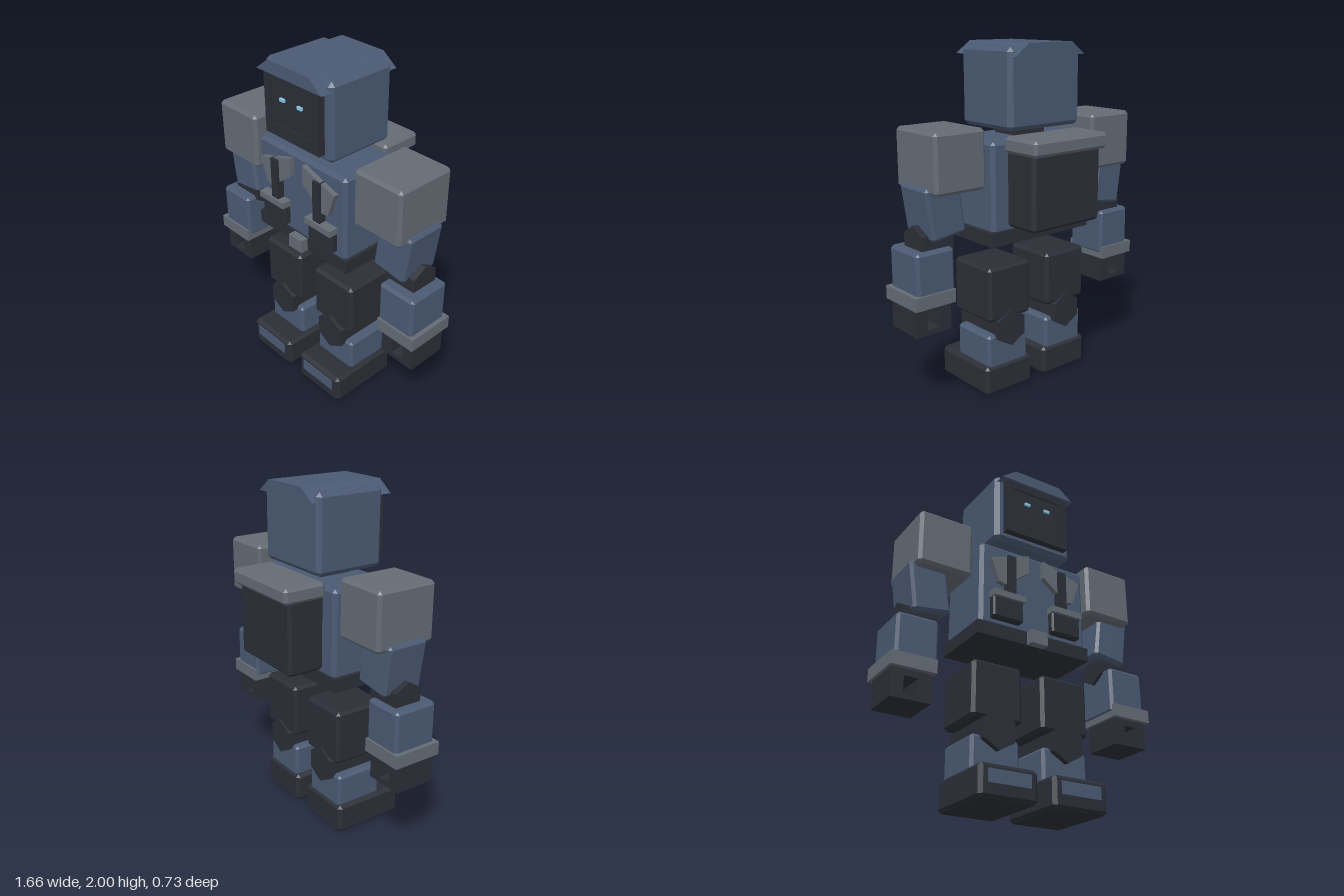
import * as THREE from 'three';
import { ConvexGeometry } from 'three/addons/geometries/ConvexGeometry.js';

const material = (color) => new THREE.MeshStandardMaterial({ color, flatShading: true });
const blue = material(0x4a5a73);
const dark = material(0x2b2e36);
const grey = material(0x646b74);
const glow = material(0x8cc8e8);

// Box with every edge chamfered by c
function chamferBox(w, h, d, c) {
  const points = [];
  for (const x of [-1, 1]) for (const y of [-1, 1]) for (const z of [-1, 1]) {
    const [a, b, e] = [w / 2, h / 2, d / 2];
    points.push(
      new THREE.Vector3(x * a, y * (b - c), z * (e - c)),
      new THREE.Vector3(x * (a - c), y * b, z * (e - c)),
      new THREE.Vector3(x * (a - c), y * (b - c), z * e));
  }
  return new ConvexGeometry(points);
}

function add(parent, name, geometry, mat) {
  const mesh = new THREE.Mesh(geometry, mat);
  mesh.name = name;
  parent.add(mesh);
  return mesh;
}

// Block given by its extents on x, y and z; c is the chamfer
function block(parent, name, mat, [x0, x1], [y0, y1], [z0, z1], c = 0) {
  const size = [x1 - x0, y1 - y0, z1 - z0];
  const geometry = c ? chamferBox(...size, c) : new THREE.BoxGeometry(...size);
  const mesh = add(parent, name, geometry, mat);
  mesh.position.set((x0 + x1) / 2, (y0 + y1) / 2, (z0 + z1) / 2);
  return mesh;
}

// Outline in x and y extruded from z0 to z1, with optional rectangular hole
function plate(parent, name, mat, outline, z0, z1, hole) {
  const shape = new THREE.Shape(outline.map(([x, y]) => new THREE.Vector2(x, y)));
  if (hole) shape.holes.push(new THREE.Path(hole.map(([x, y]) => new THREE.Vector2(x, y))));
  const geometry = new THREE.ExtrudeGeometry(shape, { depth: z1 - z0, bevelEnabled: false });
  const mesh = add(parent, name, geometry, mat);
  mesh.position.z = z0;
  return mesh;
}

const rect = (x0, x1, y0, y1) => [[x0, y0], [x1, y0], [x1, y1], [x0, y1]];

// Six-sided joint with a corner pointing up, lying along x or z
function joint(parent, name, radius, length, axis, x, y, z) {
  const geometry = new THREE.CylinderGeometry(radius, radius, length, 6);
  geometry.rotateX(Math.PI / 2);
  if (axis === 'x') geometry.rotateY(Math.PI / 2);
  add(parent, name, geometry, dark).position.set(x, y, z);
}

function buildHead(root) {
  const head = new THREE.Group();
  head.name = 'head';
  root.add(head);
  block(head, 'skull', blue, [-0.26, 0.26], [1.535, 1.98], [-0.15, 0.28], 0.025);
  plate(head, 'helmetCrest', blue,
    [[-0.25, 1.93], [0.25, 1.93], [0.155, 2], [-0.155, 2]], -0.185, 0.335);
  plate(head, 'faceFrame', dark, rect(-0.21, 0.21, 1.58, 1.93), 0.27, 0.32,
    rect(-0.16, 0.16, 1.65, 1.885));
  block(head, 'faceScreen', dark, [-0.165, 0.165], [1.645, 1.89], [0.27, 0.312]);
  for (const s of [-1, 1]) {
    const x = s * 0.068;
    block(head, 'eye', glow, [x - 0.018, x + 0.018], [1.793, 1.81], [0.3, 0.325]);
  }
  block(head, 'neck', dark, [-0.1, 0.1], [1.44, 1.56], [-0.02, 0.18]);
}

function buildTorso(root) {
  const torso = new THREE.Group();
  torso.name = 'torso';
  root.add(torso);
  block(torso, 'chest', blue, [-0.35, 0.35], [0.97, 1.485], [-0.11, 0.27], 0.02);
  block(torso, 'belt', dark, [-0.365, 0.365], [0.905, 0.985], [-0.115, 0.275]);
  block(torso, 'buckle', grey, [-0.053, 0.053], [0.905, 0.985], [0.25, 0.323]);
  block(torso, 'backpack', dark, [-0.25, 0.25], [1.005, 1.44], [-0.33, -0.1], 0.018);
  block(torso, 'backpackLid', grey, [-0.27, 0.27], [1.42, 1.512], [-0.365, -0.105], 0.018);

  // Chest plates, straps and pouches on both sides
  for (const s of [-1, 1]) {
    const span = (a, b) => (s > 0 ? [a, b] : [-b, -a]);
    const outline = [[0.05, 1.46], [0.05, 1.35], [0.205, 1.23], [0.25, 1.24], [0.3, 1.38]];
    plate(torso, 'chestPlate', grey, outline.map(([x, y]) => [s * x, y]), 0.26, 0.3);
    block(torso, 'strap', dark, span(0.145, 0.198), [1.16, 1.415], [0.26, 0.315]);
    block(torso, 'pouch', dark, span(0.097, 0.288), [1.01, 1.15], [0.25, 0.312], 0.01);
    block(torso, 'pouchFlap', grey, span(0.09, 0.293), [1.133, 1.17], [0.25, 0.328]);
  }
}

function buildArm(root, s) {
  const arm = new THREE.Group();
  arm.name = s > 0 ? 'leftArm' : 'rightArm';
  root.add(arm);
  const span = (a, b) => (s > 0 ? [a, b] : [-b, -a]);
  block(arm, 'shoulder', grey, span(0.395, 0.72), [1.24, 1.57], [-0.115, 0.26], 0.018);
  const upper = block(arm, 'upperArm', blue, span(0.507, 0.725), [0.997, 1.29], [-0.055, 0.2], 0.016);
  upper.rotation.z = -s * 0.14;
  joint(arm, 'elbow', 0.097, 0.205, 'x', s * 0.648, 0.965, 0.075);
  block(arm, 'forearm', blue, span(0.565, 0.805), [0.66, 0.937], [-0.045, 0.225], 0.016);
  block(arm, 'cuff', grey, span(0.573, 0.83), [0.63, 0.706], [-0.058, 0.238]);
  // Square fist with a grip hole running front to back
  plate(arm, 'hand', dark, rect(...span(0.588, 0.813), 0.47, 0.64), -0.03, 0.21,
    rect(...span(0.665, 0.743), 0.5, 0.592));
}

function buildLeg(root, s) {
  const leg = new THREE.Group();
  leg.name = s > 0 ? 'leftLeg' : 'rightLeg';
  root.add(leg);
  const span = (a, b) => (s > 0 ? [a, b] : [-b, -a]);
  block(leg, 'thigh', dark, span(0.062, 0.368), [0.45, 0.772], [-0.09, 0.24], 0.018);
  joint(leg, 'knee', 0.11, 0.36, 'z', s * 0.215, 0.392, 0.08);
  block(leg, 'shin', blue, span(0.072, 0.363), [0.14, 0.362], [-0.072, 0.225], 0.016);
  block(leg, 'foot', dark, span(0.045, 0.388), [0, 0.178], [-0.085, 0.36], 0.02);
  block(leg, 'toePlate', blue, span(0.092, 0.342), [0.076, 0.147], [0.33, 0.365]);
}

export function createModel() {
  const root = new THREE.Group();
  root.name = 'robot';
  buildHead(root);
  buildTorso(root);
  for (const s of [-1, 1]) {
    buildArm(root, s);
    buildLeg(root, s);
  }
  return root;
}
